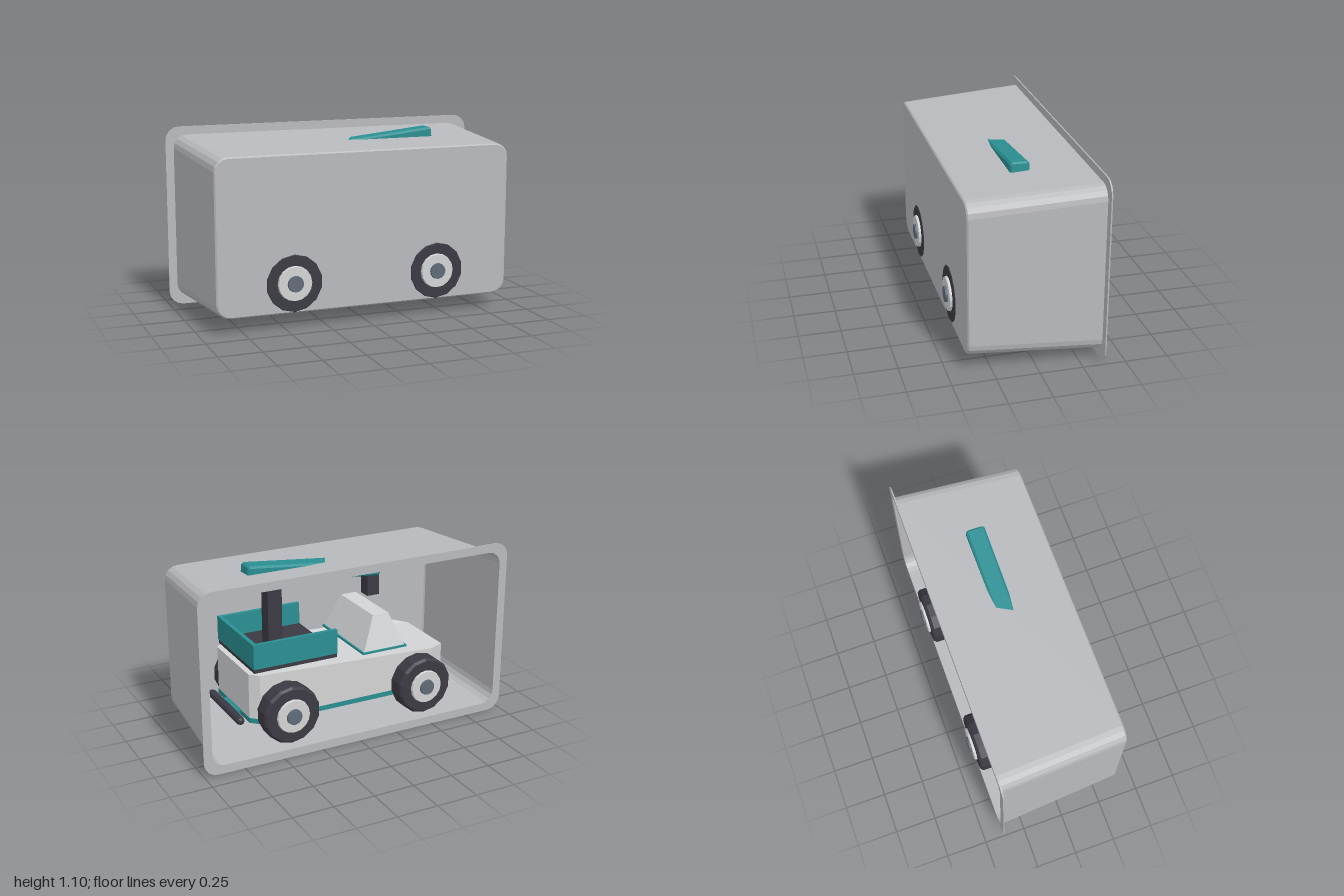
import * as THREE from 'three';

const mat = (name, color, side = THREE.FrontSide) => {
  const m = new THREE.MeshStandardMaterial({ color, side, flatShading: true });
  m.name = name;
  return m;
};

export function createModel() {
  const model = new THREE.Group();
  const trayGrey = mat('tray grey', 0xb9babe, THREE.DoubleSide);
  const white = mat('body white', 0xd3d4d5);
  const teal = mat('teal', 0x2a8f92);
  const dark = mat('charcoal', 0x3b3a43);
  const slate = mat('slate', 0x606b78);

  const add = (name, geo, material, x = 0, y = 0, z = 0, parent = model) => {
    const mesh = new THREE.Mesh(geo, material);
    mesh.name = name;
    mesh.position.set(x, y, z);
    parent.add(mesh);
    return mesh;
  };
  const box = (name, material, w, h, d, x, y, z, parent) =>
    add(name, new THREE.BoxGeometry(w, h, d), material, x, y, z, parent);

  // Rounded rectangle outline, counter-clockwise, centred at the tray's mid height
  const outline = (hw, hh, r, seg = 4) => {
    const pts = [];
    [[1, 1], [-1, 1], [-1, -1], [1, -1]].forEach(([sx, sy], q) => {
      for (let i = 0; i <= seg; i++) {
        const a = (q + i / seg) * Math.PI / 2;
        pts.push(new THREE.Vector2(sx * (hw - r) + r * Math.cos(a), 0.55 + sy * (hh - r) + r * Math.sin(a)));
      }
    });
    return pts;
  };

  // Skin closed loops of equal length together
  const loft = (loops) => {
    const pos = [], idx = [], n = loops[0].pts.length;
    loops.forEach(({ pts, z }) => pts.forEach((p) => pos.push(p.x, p.y, z)));
    for (let k = 0; k < loops.length - 1; k++) {
      for (let i = 0; i < n; i++) {
        const a = k * n + i, b = k * n + (i + 1) % n;
        idx.push(a, b, b + n, a, b + n, a + n);
      }
    }
    const g = new THREE.BufferGeometry();
    g.setAttribute('position', new THREE.Float32BufferAttribute(pos, 3));
    g.setIndex(idx);
    g.computeVertexNormals();
    return g;
  };

  // Tray: open at the back, with a flat flange round the opening
  const tray = new THREE.Group();
  tray.name = 'tray';
  model.add(tray);
  const frontEdge = outline(0.898, 0.451, 0.075);
  add('trayWalls', loft([
    { pts: outline(0.95, 0.5, 0.08), z: -0.376 },
    { pts: outline(0.906, 0.459, 0.08), z: 0.378 },
    { pts: frontEdge, z: 0.386 },
  ]), trayGrey, 0, 0, 0, tray);
  add('trayFace', new THREE.ShapeGeometry(new THREE.Shape(frontEdge)), trayGrey, 0, 0, 0.386, tray);
  const flange = new THREE.Shape(outline(1, 0.55, 0.085));
  flange.holes.push(new THREE.Path(outline(0.948, 0.498, 0.08).reverse()));
  add('trayFlange', new THREE.ExtrudeGeometry(flange, { depth: 0.008, bevelEnabled: false }),
    trayGrey, 0, 0, -0.384, tray);

  // Truck body: plan with cut corners, hood sloping down to the nose
  const truck = new THREE.Group();
  truck.name = 'truck';
  model.add(truck);
  const plan = (hw, front, rear) => new THREE.Shape([
    [rear - 0.05, -hw], [rear, -hw + 0.05], [rear, hw - 0.05], [rear - 0.05, hw],
    [-front + 0.12, hw], [-front, hw - 0.08], [-front, -hw + 0.08], [-front + 0.12, -hw],
  ].map(([x, y]) => new THREE.Vector2(x, y)));
  const slab = (shape, h) => new THREE.ExtrudeGeometry(shape, { depth: h, bevelEnabled: false }).rotateX(-Math.PI / 2);
  const bodyGeo = slab(plan(0.28, 0.67, 0.65), 0.275);
  const bp = bodyGeo.attributes.position;
  for (let i = 0; i < bp.count; i++) {
    if (bp.getY(i) > 0.1 && bp.getX(i) < -0.5) bp.setY(i, bp.getX(i) < -0.6 ? 0.205 : 0.225);
  }
  bodyGeo.computeVertexNormals();
  add('body', bodyGeo, white, 0, 0.23, 0, truck);
  add('sill', slab(plan(0.282, 0.672, 0.652), 0.03), teal, 0, 0.2, 0, truck);
  box('chassis', dark, 1.2, 0.06, 0.26, 0, 0.17, 0, truck);

  // Cab: a box tapered towards the roof
  const cabGeo = new THREE.BoxGeometry(0.29, 0.22, 0.52);
  const cp = cabGeo.attributes.position;
  for (let i = 0; i < cp.count; i++) {
    if (cp.getY(i) > 0) cp.setXYZ(i, cp.getX(i) * 0.36, cp.getY(i), cp.getZ(i) * 0.78);
  }
  cabGeo.computeVertexNormals();
  add('cab', cabGeo, white, -0.23, 0.6, 0, truck);
  box('cabTrim', teal, 0.3, 0.012, 0.53, -0.23, 0.5, 0, truck);

  // Load bed with three side walls, open towards the cab
  box('bedFloor', dark, 0.53, 0.04, 0.52, 0.36, 0.535, 0, truck);
  box('bedTailWall', teal, 0.025, 0.15, 0.53, 0.617, 0.615, 0, truck);
  for (const s of [-1, 1]) box('bedSideWall', teal, 0.535, 0.15, 0.025, 0.362, 0.615, s * 0.2525, truck);

  // Post and boom
  box('post', dark, 0.09, 0.46, 0.09, 0.39, 0.77, 0, truck);
  const cross = new THREE.Shape([
    [-0.045, -0.05], [0.045, -0.05], [0.057, -0.038], [0.057, 0.038],
    [0.045, 0.05], [-0.045, 0.05], [-0.057, 0.038], [-0.057, -0.038],
  ].map(([x, y]) => new THREE.Vector2(x, y)));
  const boom = add('boom', new THREE.ExtrudeGeometry(cross, {
    depth: 0.86, bevelThickness: 0.01, bevelSize: 0.01, bevelOffset: -0.01, bevelSegments: 1,
  }).translate(0, 0, -0.43).rotateY(Math.PI / 2), teal, 0.122, 0.988, 0, truck);
  boom.rotation.z = 0.104;
  box('boomTip', dark, 0.08, 0.14, 0.08, -0.27, 0.84, 0, truck);

  // Bumpers
  for (const x of [-0.7, 0.7]) {
    const bumper = add('bumper', new THREE.CapsuleGeometry(0.026, 0.42, 3, 8), dark, x, 0.215, 0, truck);
    bumper.rotation.x = Math.PI / 2;
    box('bumperBracket', teal, 0.06, 0.025, 0.2, x * 0.95, 0.215, 0, truck);
  }

  // Wheels: chamfered tyre, hub disc and cap, mirrored to both sides
  const tyreProfile = [[0, 0], [0.168, 0], [0.178, 0.015], [0.178, 0.11], [0.165, 0.125], [0, 0.125]]
    .map(([r, y]) => new THREE.Vector2(r, y - 0.0625));
  const tyreGeo = new THREE.LatheGeometry(tyreProfile, 14);
  for (const x of [-0.445, 0.445]) {
    const axle = add('axle', new THREE.CylinderGeometry(0.03, 0.03, 0.6, 10), dark, x, 0.266, 0, truck);
    axle.rotation.x = Math.PI / 2;
    for (const s of [-1, 1]) {
      const wheel = new THREE.Group();
      wheel.name = 'wheel';
      wheel.position.set(x, 0.266, s * 0.3275);
      wheel.rotation.x = s * Math.PI / 2;
      truck.add(wheel);
      add('tyre', tyreGeo, dark, 0, 0, 0, wheel);
      add('hub', new THREE.CylinderGeometry(0.1, 0.105, 0.02, 16), white, 0, 0.067, 0, wheel);
      add('hubCap', new THREE.CylinderGeometry(0.046, 0.05, 0.02, 16), slate, 0, 0.079, 0, wheel);
    }
  }
  return model;
}
